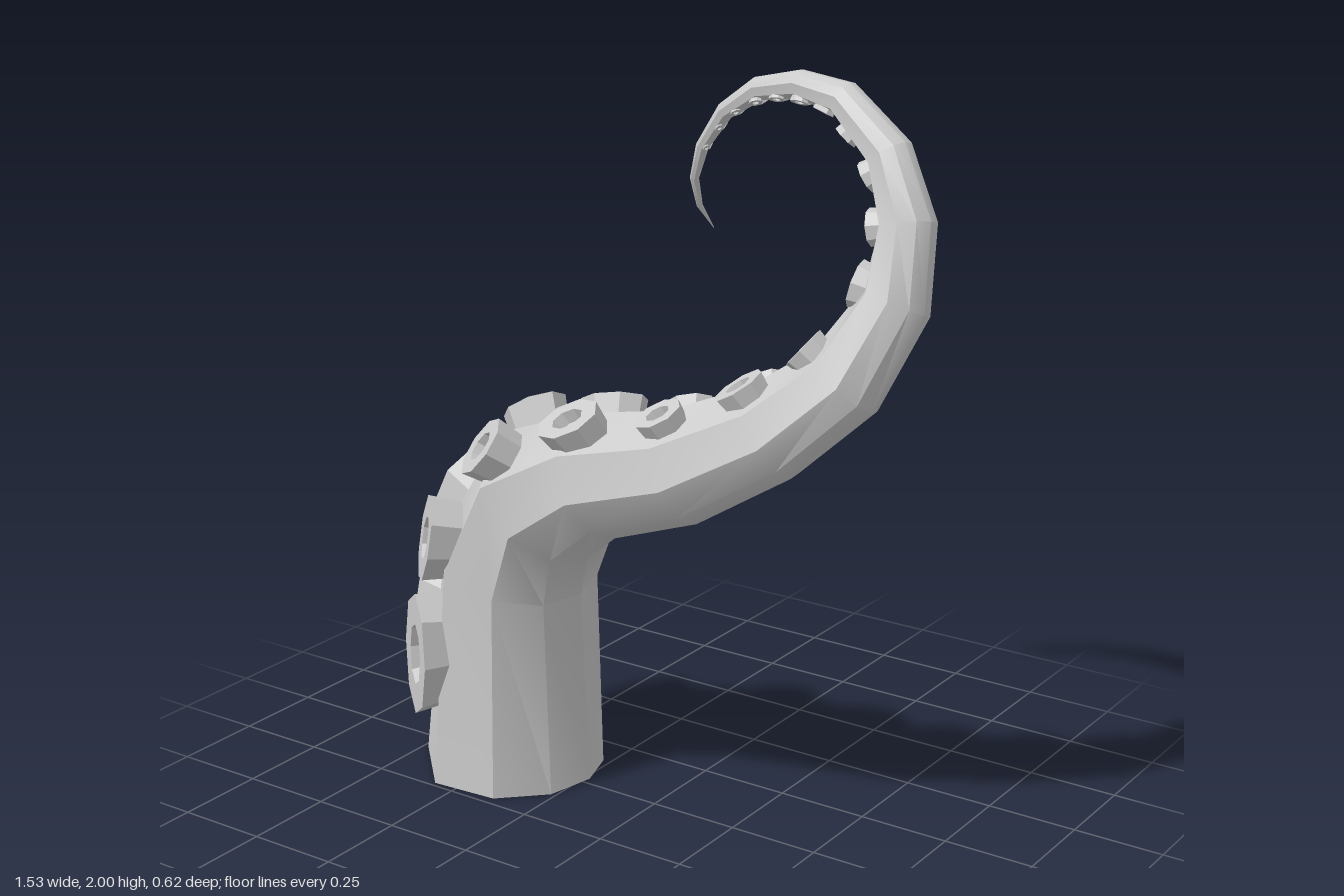
import * as THREE from 'three';
import { toCreasedNormals } from 'three/addons/utils/BufferGeometryUtils.js';

// Cross-sections along the arm: x, y, z of the centre, radius
const SECTIONS = [
  [-0.49, 0.005, -0.008, 0.256], [-0.43, 0.63, 0.03, 0.222], [-0.265, 0.87, 0.097, 0.202],
  [-0.05, 0.975, 0.153, 0.165], [0.2, 1.045, 0.16, 0.146], [0.43, 1.165, 0.125, 0.123],
  [0.6, 1.31, 0.075, 0.107], [0.69, 1.5, 0, 0.089], [0.69, 1.68, -0.045, 0.074],
  [0.62, 1.83, -0.08, 0.06], [0.475, 1.945, -0.11, 0.046], [0.34, 1.965, -0.13, 0.036],
  [0.21, 1.94, -0.15, 0.03], [0.1, 1.87, -0.165, 0.023], [0.02, 1.77, -0.185, 0.017],
  [-0.02, 1.68, -0.21, 0.012], [-0.03, 1.6, -0.25, 0.008], [-0.025, 1.53, -0.31, 0.001],
];
// Corners of a cross-section in degrees; the widest facets lie under the suckers
const CORNERS = [16, 72, 116, 152, 184, 212, 243, 275, 312, 345];
// Sucker pairs: position along the sections, half length, half width, roll in degrees
const SUCKERS = [
  [0.55, 0.182, 0.098, 27], [1.12, 0.135, 0.09, 18], [2.12, 0.1, 0.08, 10],
  [3.08, 0.1, 0.072, 1], [4.08, 0.068, 0.056, -3], [5, 0.072, 0.054, -9],
  [5.95, 0.06, 0.047, -14], [7.05, 0.06, 0.045, -18], [8, 0.047, 0.04, -18],
  [8.9, 0.041, 0.034, -14], [9.6, 0.035, 0.028, -10], [10.25, 0.031, 0.023, -5],
  [10.9, 0.026, 0.02, 0], [11.5, 0.022, 0.017, 0], [12.1, 0.019, 0.015, 0],
  [12.7, 0.016, 0.012, 0], [13.3, 0.013, 0.01, 0], [13.9, 0.011, 0.008, 0],
];
const SPREAD = 28;
const LAST = SECTIONS.length - 1;
const path = new THREE.CatmullRomCurve3(
  SECTIONS.map(([x, y, z]) => new THREE.Vector3(x, y, z)), false, 'catmullrom', 0.5);

// Centre, radius and axes at a position; angle 0 points to the sucker side
function frameAt(u) {
  const i = Math.min(Math.floor(u), LAST - 1);
  const radius = THREE.MathUtils.lerp(SECTIONS[i][3], SECTIONS[i + 1][3], u - i);
  const tangent = u === 0 ? new THREE.Vector3(0, 1, 0) : path.getTangent(u / LAST);
  const side = new THREE.Vector3(0, 0, 1).addScaledVector(tangent, -tangent.z).normalize();
  const inner = side.clone().cross(tangent);
  const outward = (degrees) => {
    const angle = THREE.MathUtils.degToRad(degrees);
    return inner.clone().multiplyScalar(Math.cos(angle))
      .addScaledVector(side, Math.sin(angle));
  };
  return { centre: path.getPoint(u / LAST), radius, tangent, outward };
}

// Tapered, many-sided skin, slightly twisted near the base and open below
function armGeometry() {
  const positions = [];
  const index = [];
  const sides = CORNERS.length;
  for (let i = 0; i <= LAST; i++) {
    const f = frameAt(i);
    const twist = -14 * Math.min(i / 3, 1);
    CORNERS.forEach((corner, j) => {
      const p = f.outward(corner + twist).multiplyScalar(f.radius).add(f.centre);
      positions.push(p.x, p.y, p.z);
      if (i === LAST) return;
      const a = i * sides + j;
      const b = i * sides + (j + 1) % sides;
      index.push(a, b, a + sides, b, b + sides, a + sides);
    });
  }
  const geometry = new THREE.BufferGeometry();
  geometry.setAttribute('position', new THREE.Float32BufferAttribute(positions, 3));
  geometry.setIndex(index);
  return toCreasedNormals(geometry, 0.66);
}

export function createModel() {
  const model = new THREE.Group();
  model.name = 'tentacle';

  const skin = new THREE.MeshStandardMaterial({ color: 0xcccccc, side: THREE.DoubleSide });
  const arm = new THREE.Mesh(armGeometry(), skin);
  arm.name = 'arm';
  model.add(arm);

  // Eight-sided cup with a flat rim and a recessed centre
  const cup = new THREE.LatheGeometry([
    [0.9, -0.35], [1, 0.6], [0.5, 0.6], [0.42, 0.15], [0, 0.15],
  ].map(([r, y]) => new THREE.Vector2(r, y)), 8);
  const cupMaterial = new THREE.MeshStandardMaterial({ color: 0xcccccc, flatShading: true });

  const suckers = new THREE.Group();
  suckers.name = 'suckers';
  for (const [u, length, width, roll] of SUCKERS) {
    const f = frameAt(u);
    for (const row of [1, -1]) {
      const n = f.outward(roll + row * SPREAD);
      const sucker = new THREE.Mesh(cup, cupMaterial);
      sucker.name = row > 0 ? 'frontRowSucker' : 'backRowSucker';
      sucker.quaternion.setFromRotationMatrix(
        new THREE.Matrix4().makeBasis(f.tangent, n, f.tangent.clone().cross(n)));
      sucker.position.copy(f.centre).addScaledVector(n, f.radius * 0.92);
      sucker.scale.set(length, width, width);
      suckers.add(sucker);
    }
  }
  model.add(suckers);
  return model;
}
